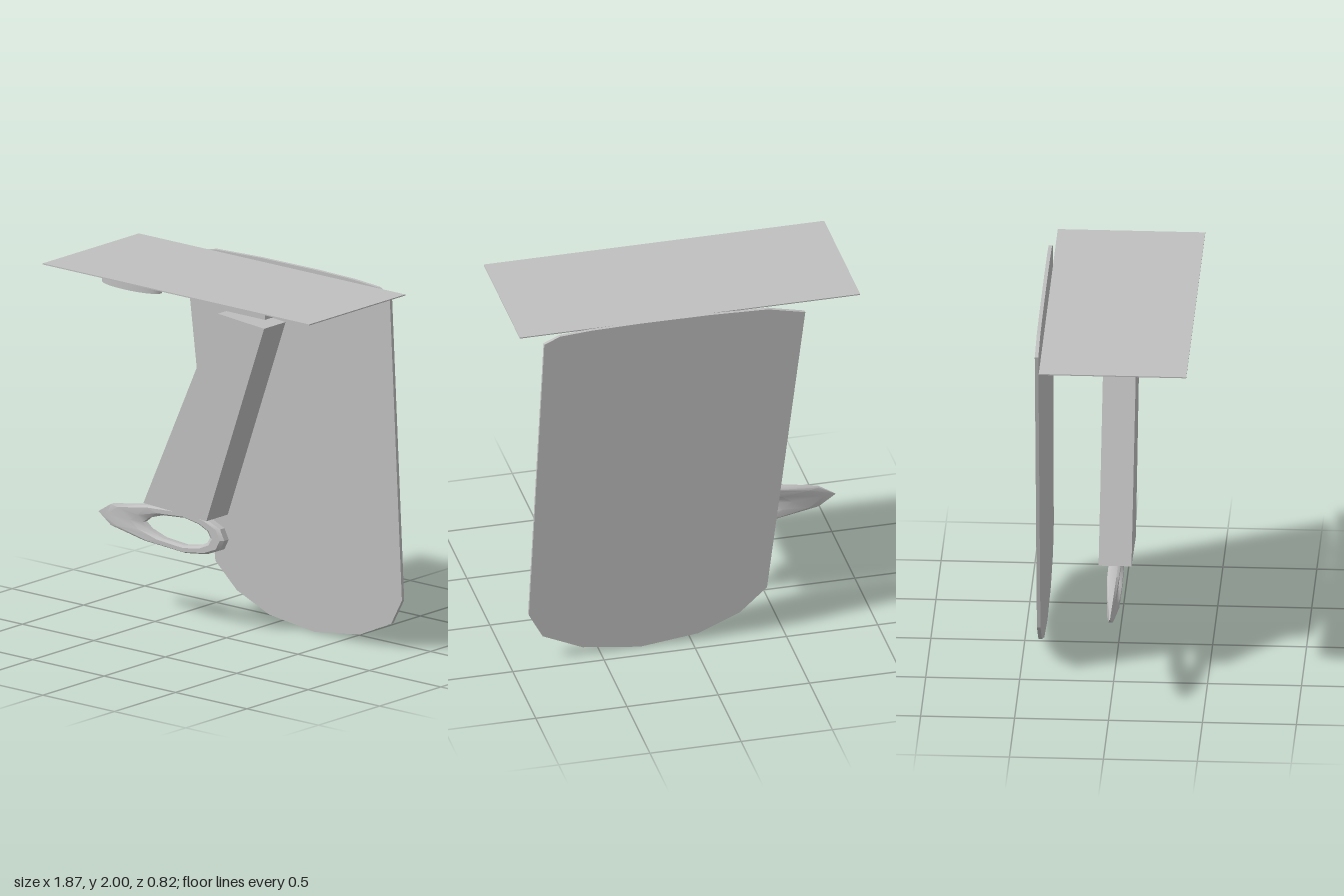
import * as THREE from 'three';
import { toCreasedNormals } from 'three/addons/utils/BufferGeometryUtils.js';

const grey = new THREE.MeshStandardMaterial({ color: 0xbfbfbf });
grey.name = 'grey';

function add(group, name, geometry) {
  const mesh = new THREE.Mesh(geometry, grey);
  mesh.name = name;
  group.add(mesh);
}

function box(x0, x1, y0, y1, z0, z1) {
  return new THREE.BoxGeometry(x1 - x0, y1 - y0, z1 - z0)
    .translate((x0 + x1) / 2, (y0 + y1) / 2, (z0 + z1) / 2);
}

// flat outline in x, y with thickness from z0 to z1
function slab(points, z0, z1) {
  const shape = new THREE.Shape(points.map(([x, y]) => new THREE.Vector2(x, y)));
  return new THREE.ExtrudeGeometry(shape, { depth: z1 - z0, bevelEnabled: false })
    .translate(0, 0, z0);
}

// bevelled pointed ring lofted between an outer and an inner outline
function pointedRing(cy) {
  // upper half, rear to tip: outer x, outer y, inner x, inner y, thickness factor
  const half = [
    [0, 0, -0.1, 0, 1],
    [-0.03, 0.058, -0.12, 0.032, 1],
    [-0.12, 0.095, -0.18, 0.06, 1],
    [-0.27, 0.115, -0.28, 0.077, 1],
    [-0.56, 0.098, -0.43, 0.064, 1],
    [-0.8, 0.058, -0.53, 0.032, 0.6],
    [-0.895, 0, -0.57, 0, 0.1],
  ];
  const lower = half.slice(1, -1).reverse().map(([a, b, c, d, t]) => [a, -b, c, -d, t]);
  const stations = [...half, ...lower];
  // section: fraction from outer to inner outline, z
  const front = [[0, 0.018], [0.2, 0.032], [0.75, 0.032], [1, 0.016]];
  const section = [...front, ...front.slice().reverse().map(([f, z]) => [f, -z])];
  const n = stations.length, m = section.length;
  const positions = [], index = [];
  stations.forEach(([ox, oy, ix, iy, t], i) => section.forEach(([f, z], k) => {
    const taper = THREE.MathUtils.lerp(t, 1, f);
    positions.push(ox + (ix - ox) * f, cy + oy + (iy - oy) * f, z * taper);
    const i1 = (i + 1) % n, k1 = (k + 1) % m;
    const a = i * m + k, b = i1 * m + k, c = i1 * m + k1, d = i * m + k1;
    index.push(a, b, c, a, c, d);
  }));
  const geometry = new THREE.BufferGeometry();
  geometry.setAttribute('position', new THREE.Float32BufferAttribute(positions, 3));
  geometry.setIndex(index);
  return toCreasedNormals(geometry, 0.55);
}

export function createModel() {
  const group = new THREE.Group();
  group.name = 'model';

  // thin horizontal plate and the block beneath it
  add(group, 'topPlate', box(-0.935, 0.93, 1.98, 1.986, -0.375, 0.41));
  add(group, 'mountBlock', box(0.02, 0.35, 1.84, 1.98, -0.08, 0.095));

  // oval pad under the plate
  add(group, 'ovalPad', new THREE.CylinderGeometry(1, 1, 0.053, 24)
    .scale(0.202, 1, 0.064).translate(-0.403, 1.9555, 0.302));

  // large rear panel
  add(group, 'rearPanel', slab([
    [-0.625, 1.94], [-0.42, 1.987], [-0.1, 1.998], [0.28, 2], [0.55, 1.995],
    [0.72, 1.983], [0.805, 1.945], [0.89, 0.285], [0.815, 0.145], [0.595, 0.045],
    [0.28, 0.003], [-0.035, 0.04], [-0.265, 0.135], [-0.415, 0.27],
  ].reverse(), -0.413, -0.394));

  // slanted strut
  add(group, 'strut', slab([
    [-0.5, 0.677], [-0.06, 0.655], [0.345, 1.79], [0.022, 1.815],
  ], -0.08, 0.095));

  // pointed ring at the foot of the strut
  add(group, 'pointedRing', pointedRing(0.541));

  return group;
}
